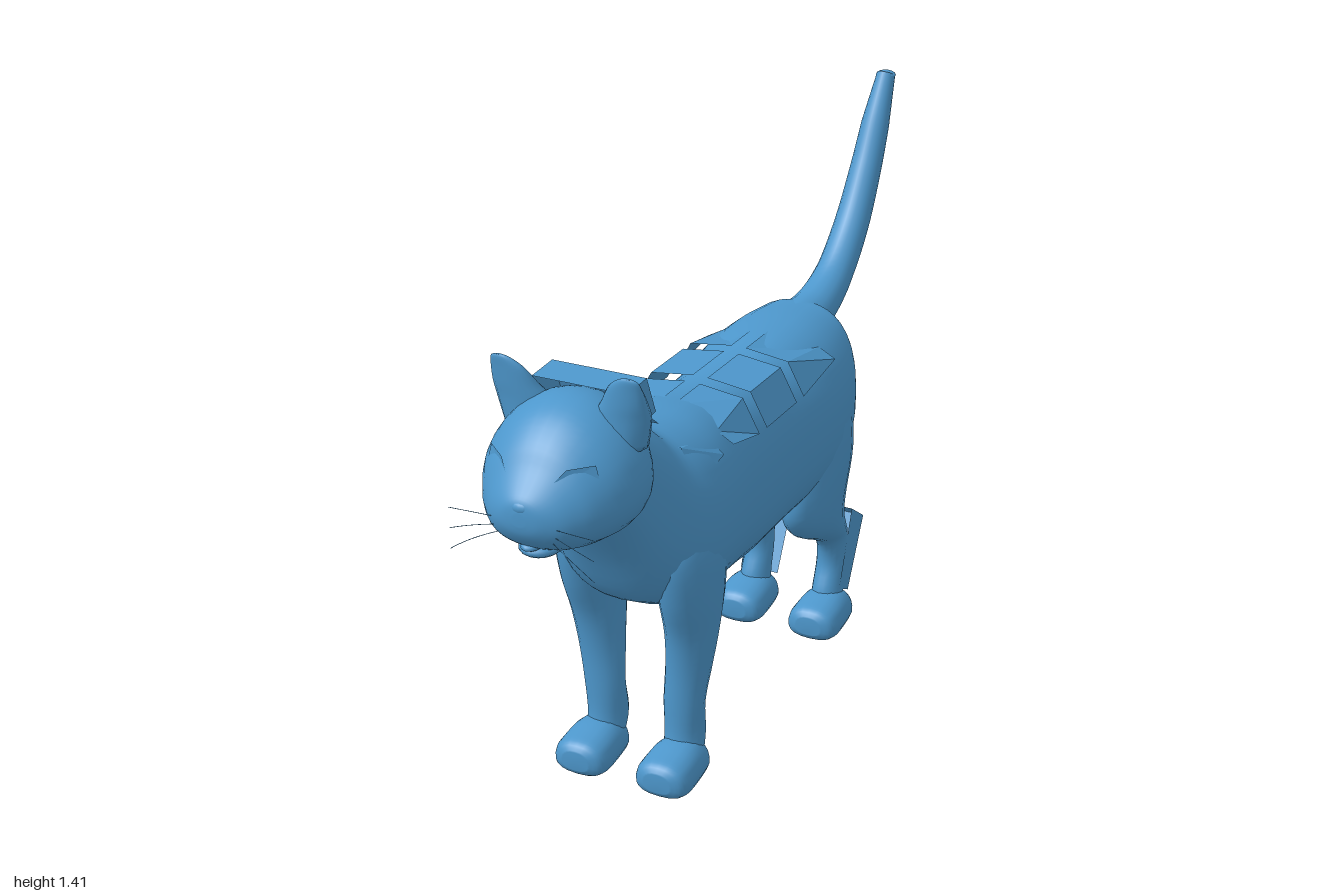
import * as THREE from 'three';

const material = new THREE.MeshStandardMaterial({ color: 0x4d97cc, side: THREE.DoubleSide });

function add(group, name, geometry) {
  const mesh = new THREE.Mesh(geometry, material);
  mesh.name = name;
  group.add(mesh);
  return mesh;
}

// Smooth skin over sections [cx, cy, cz, halfWidth, halfDepth], listed in rising order along the axis.
// power squares the section, egg narrows its upper side.
function loft(sections, axis, { power = 1, egg = 0, sides = 28, steps = 4 } = {}) {
  const pos = [], index = [];
  const n = (sections.length - 1) * steps;
  const at = (t) => {
    const i = Math.min(Math.floor(t), sections.length - 2), f = t - i;
    const get = (k) => sections[Math.max(0, Math.min(sections.length - 1, k))];
    const [a, b, c, d] = [get(i - 1), get(i), get(i + 1), get(i + 2)];
    return b.map((p, k) => 0.5 * (2 * p + (c[k] - a[k]) * f + (2 * a[k] - 5 * p + 4 * c[k] - d[k]) * f * f
      + (3 * p - a[k] - 3 * c[k] + d[k]) * f ** 3));
  };
  const soft = (v) => Math.sign(v) * Math.abs(v) ** power;
  for (let i = 0; i <= n; i++) {
    const [x, y, z, w, h] = at(i / steps);
    for (let j = 0; j < sides; j++) {
      const a = j / sides * Math.PI * 2;
      const u = soft(Math.cos(a)) * w * (1 - egg * Math.sin(a)), v = soft(Math.sin(a)) * h;
      if (axis === 'z') pos.push(x + u, y + v, z);
      else pos.push(x + u, y, z - v);
    }
  }
  for (let i = 0; i < n; i++) for (let j = 0; j < sides; j++) {
    const a = i * sides + j, b = i * sides + (j + 1) % sides;
    index.push(a, b, b + sides, a, b + sides, a + sides);
  }
  // end caps
  const first = pos.length / 3;
  pos.push(...sections[0].slice(0, 3), ...sections[sections.length - 1].slice(0, 3));
  for (let j = 0; j < sides; j++) {
    const k = (j + 1) % sides;
    index.push(first, k, j, first + 1, n * sides + j, n * sides + k);
  }
  const g = new THREE.BufferGeometry();
  g.setAttribute('position', new THREE.Float32BufferAttribute(pos, 3));
  g.setIndex(index);
  g.computeVertexNormals();
  return g;
}

// Flat sheet made of quads, each given by four corners
function sheet(quads) {
  const pos = [];
  for (const [a, b, c, d] of quads) pos.push(...a, ...b, ...c, ...a, ...c, ...d);
  const g = new THREE.BufferGeometry();
  g.setAttribute('position', new THREE.Float32BufferAttribute(pos, 3));
  g.computeVertexNormals();
  return g;
}

// Sections given as z, top, bottom, half width
const profile = (rows) => rows.map(([z, t, b, w]) => [0, (t + b) / 2, z, w, (t - b) / 2]);

// Tube whose radius shrinks toward the tip
function taperedTube(points, radii, segments, sides) {
  const curve = new THREE.CatmullRomCurve3(points.map((p) => new THREE.Vector3(...p)));
  const g = new THREE.TubeGeometry(curve, segments, 1, sides);
  const p = g.attributes.position, v = new THREE.Vector3();
  for (let i = 0; i < p.count; i++) {
    const t = Math.floor(i / (sides + 1)) / segments, c = curve.getPointAt(t);
    const s = t * (radii.length - 1), k = Math.min(Math.floor(s), radii.length - 2);
    v.fromBufferAttribute(p, i).sub(c).multiplyScalar(THREE.MathUtils.lerp(radii[k], radii[k + 1], s - k)).add(c);
    p.setXYZ(i, v.x, v.y, v.z);
  }
  return g;
}

export function createModel() {
  const cat = new THREE.Group();
  cat.name = 'cat';

  // Torso and neck
  add(cat, 'body', loft(profile([
    [-0.465, 0.91, 0.81, 0.06], [-0.445, 0.925, 0.66, 0.14], [-0.4, 0.93, 0.5, 0.18], [-0.3, 0.935, 0.45, 0.2],
    [-0.18, 0.93, 0.45, 0.2], [-0.05, 0.915, 0.435, 0.182], [0.1, 0.91, 0.425, 0.177], [0.22, 0.92, 0.44, 0.187],
    [0.34, 0.94, 0.46, 0.208], [0.45, 0.95, 0.47, 0.213], [0.52, 0.965, 0.5, 0.195], [0.58, 1.02, 0.545, 0.165],
    [0.65, 1.06, 0.67, 0.13], [0.73, 1.07, 0.8, 0.11],
  ]), 'z', { power: 0.85, egg: 0.04, sides: 36 }));

  // Tail
  add(cat, 'tail', taperedTube(
    [[0, 0.86, -0.4], [0, 0.875, -0.52], [0, 0.925, -0.64], [0, 1.03, -0.755], [0, 1.17, -0.85], [0, 1.3, -0.92], [0, 1.4, -0.975]],
    [0.07, 0.058, 0.05, 0.047, 0.043, 0.038, 0.025], 36, 16));
  const tip = add(cat, 'tailTip', new THREE.SphereGeometry(0.025, 14, 8));
  tip.scale.set(1.1, 0.5, 1);
  tip.position.set(0, 1.398, -0.973);

  // Head
  const head = new THREE.Group();
  head.name = 'head';
  cat.add(head);
  add(head, 'skull', loft(profile([
    [0.6, 1.04, 0.9, 0.07], [0.63, 1.08, 0.84, 0.12], [0.7, 1.12, 0.81, 0.17], [0.77, 1.13, 0.8, 0.185],
    [0.84, 1.11, 0.805, 0.175], [0.9, 1.065, 0.815, 0.145], [0.935, 1.02, 0.83, 0.118], [0.965, 0.985, 0.85, 0.088],
    [0.985, 0.96, 0.88, 0.05], [0.991, 0.935, 0.905, 0.015],
  ]), 'z', { power: 0.95, egg: 0.15, sides: 32 }));
  const chin = add(head, 'chin', new THREE.SphereGeometry(1, 16, 10));
  chin.scale.set(0.05, 0.022, 0.055);
  chin.position.set(0, 0.823, 0.9);
  const tongue = add(head, 'tongue', new THREE.SphereGeometry(1, 12, 8));
  tongue.scale.set(0.025, 0.012, 0.035);
  tongue.position.set(0, 0.84, 0.935);
  const nose = add(head, 'nose', new THREE.SphereGeometry(1, 12, 8));
  nose.scale.set(0.024, 0.015, 0.012);
  nose.position.set(0, 0.945, 0.98);

  // Raised panel behind the ears and nape flap
  const w = 0.12;
  add(head, 'headPanel', sheet([
    [[-w, 1.13, 0.72], [-w, 1.135, 0.63], [w, 1.135, 0.63], [w, 1.13, 0.72]],
    [[-w, 1.135, 0.63], [-w, 1.04, 0.59], [w, 1.04, 0.59], [w, 1.135, 0.63]],
    [[-w, 1.13, 0.72], [-w, 1.02, 0.7], [-w, 1.04, 0.59], [-w, 1.135, 0.63]],
    [[w, 1.13, 0.72], [w, 1.02, 0.7], [w, 1.04, 0.59], [w, 1.135, 0.63]],
  ]));
  add(cat, 'napeFlap', sheet([[[-0.09, 0.975, 0.52], [0.09, 0.975, 0.52], [0.08, 1.02, 0.57], [-0.08, 1.02, 0.57]]]));

  for (const s of [1, -1]) {
    const side = s > 0 ? 'left' : 'right';

    // Ear
    add(head, side + 'Ear', loft([
      [s * 0.115, 1.02, 0.735, 0.06, 0.05], [s * 0.125, 1.09, 0.745, 0.066, 0.042], [s * 0.137, 1.13, 0.76, 0.056, 0.03],
      [s * 0.147, 1.17, 0.775, 0.042, 0.017], [s * 0.157, 1.192, 0.784, 0.026, 0.009], [s * 0.16, 1.2, 0.788, 0.01, 0.003],
    ], 'y', { sides: 16 }));

    // Eye sheet
    add(head, side + 'Eye', sheet([
      [[s * 0.04, 0.975, 0.957], [s * 0.145, 0.975, 0.88], [s * 0.13, 1.03, 0.88], [s * 0.08, 1.025, 0.92]],
    ]));

    // Whiskers
    for (let i = 0; i < 3; i++) {
      const path = new THREE.QuadraticBezierCurve3(
        new THREE.Vector3(s * 0.06, 0.9 - i * 0.015, 0.96),
        new THREE.Vector3(s * 0.12, 0.915 - i * 0.03, 0.99),
        new THREE.Vector3(s * 0.18, 0.91 - i * 0.05, 0.985));
      add(head, side + 'Whisker', new THREE.TubeGeometry(path, 8, 0.0008, 4));
    }

    // Front leg
    add(cat, side + 'FrontLeg', loft([
      [s * 0.11, 0.07, 0.455, 0.05, 0.05], [s * 0.107, 0.13, 0.437, 0.05, 0.055], [s * 0.11, 0.22, 0.445, 0.052, 0.047],
      [s * 0.119, 0.32, 0.437, 0.057, 0.06], [s * 0.127, 0.42, 0.435, 0.064, 0.08], [s * 0.132, 0.53, 0.445, 0.072, 0.11],
      [s * 0.13, 0.66, 0.455, 0.078, 0.12], [s * 0.11, 0.78, 0.45, 0.07, 0.09],
    ], 'y', { sides: 18 }));

    // Hind leg with thigh and hock
    add(cat, side + 'HindLeg', loft([
      [s * 0.11, 0.06, -0.39, 0.046, 0.05], [s * 0.108, 0.13, -0.405, 0.04, 0.05], [s * 0.107, 0.2, -0.425, 0.038, 0.045],
      [s * 0.11, 0.27, -0.42, 0.04, 0.058], [s * 0.115, 0.32, -0.365, 0.05, 0.08], [s * 0.12, 0.38, -0.295, 0.06, 0.12],
      [s * 0.123, 0.45, -0.27, 0.068, 0.145], [s * 0.125, 0.57, -0.285, 0.077, 0.148], [s * 0.12, 0.7, -0.29, 0.077, 0.13],
      [s * 0.1, 0.8, -0.3, 0.06, 0.09],
    ], 'y', { sides: 18 }));

    // Paws with a small pad underneath
    for (const [name, z] of [['FrontPaw', 0.5], ['HindPaw', -0.365]]) {
      add(cat, side + name, loft([
        [s * 0.112, 0.035, z - 0.095, 0.035, 0.018], [s * 0.112, 0.06, z - 0.075, 0.055, 0.045],
        [s * 0.112, 0.07, z - 0.02, 0.066, 0.057], [s * 0.112, 0.066, z + 0.05, 0.07, 0.052],
        [s * 0.112, 0.066, z + 0.085, 0.062, 0.043], [s * 0.112, 0.066, z + 0.1, 0.035, 0.025],
      ], 'z', { power: 0.8, egg: 0.13, sides: 20 }));
      const pad = add(cat, side + name + 'Pad', new THREE.CylinderGeometry(0.012, 0.006, 0.025, 8));
      pad.position.set(s * 0.105, 0.0125, z + 0.015);
    }

    // Open panel wrapped around the hock
    const a = s * 0.065, b = s * 0.148;
    add(cat, side + 'HockPanel', sheet([
      [[a, 0.34, -0.465], [b, 0.34, -0.465], [b, 0.285, -0.545], [a, 0.285, -0.545]],
      [[a, 0.285, -0.545], [b, 0.285, -0.545], [b, 0.1, -0.45], [a, 0.1, -0.45]],
      [[b, 0.34, -0.465], [b, 0.285, -0.545], [b, 0.1, -0.45], [b, 0.13, -0.39]],
    ]));

    // Row of flaps along the back: front z, rear z, pinch at front and rear
    for (const [z0, z1, p0, p1] of [[0.5, 0.37, 0, 0.025], [0.32, 0.18, 0.03, 0], [0.14, -0.03, 0, 0], [-0.07, -0.26, 0, 0.03]]) {
      add(cat, side + 'BackFlap', sheet([
        [[s * 0.135, 0.915 - p0, z0], [s * 0.135, 0.915 - p1, z1], [s * 0.18, 0.83 + p1, z1], [s * 0.18, 0.83 + p0, z0]],
        [[s * 0.02, 0.93, z0], [s * 0.02, 0.93, z1], [s * 0.135, 0.915 - p1, z1], [s * 0.135, 0.915 - p0, z0]],
      ]));
    }
  }
  return cat;
}
